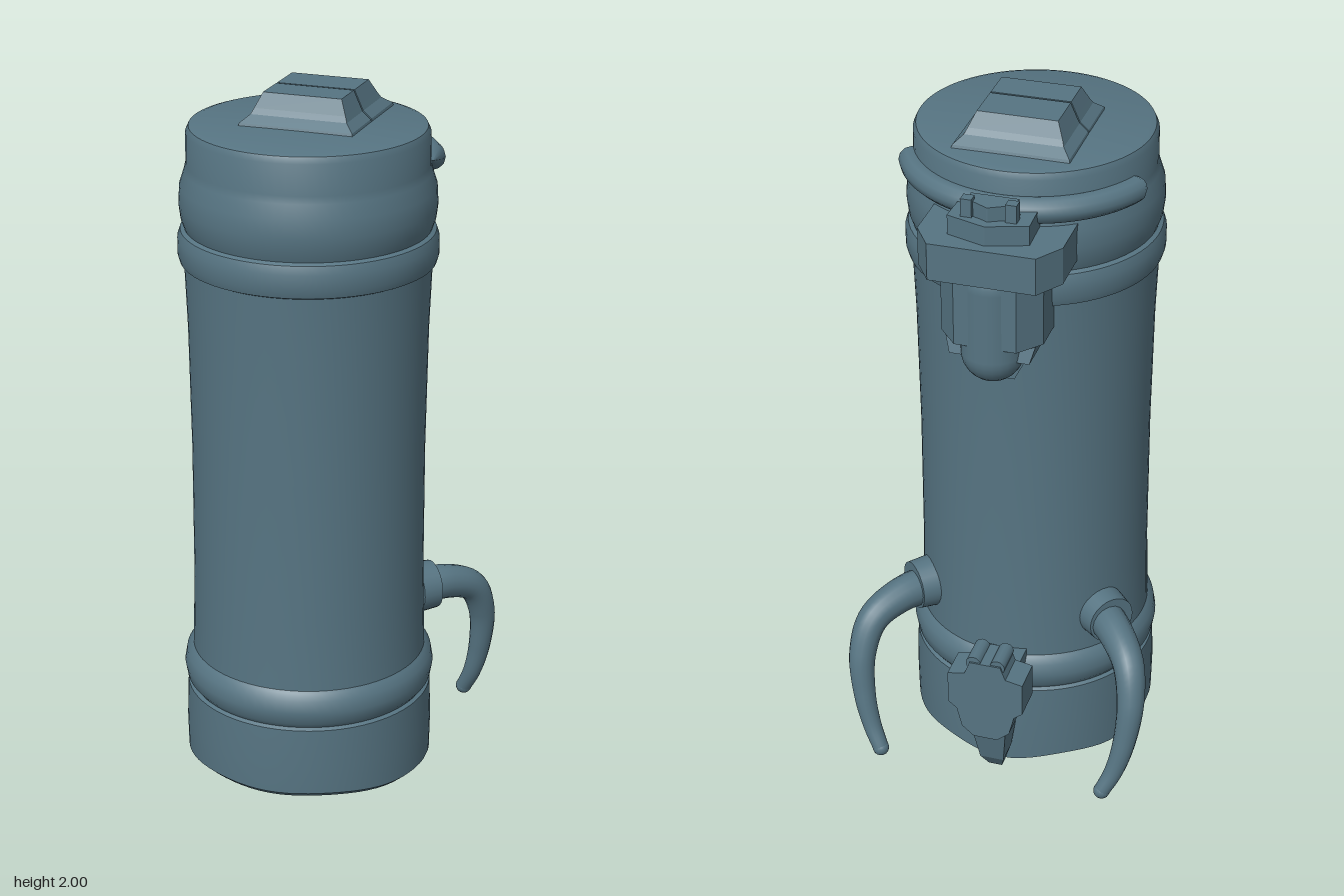
import * as THREE from 'three';
import { toCreasedNormals } from 'three/addons/utils/BufferGeometryUtils.js';

const CZ = 0.073; // z of the canister axis

// Stack of rectangles [y, x0, x1, z0, z1], bottom to top, with end caps
function loft(sections) {
  const pos = [], idx = [];
  for (const [y, x0, x1, z0, z1] of sections) {
    pos.push(x0, y, z1, x1, y, z1, x1, y, z0, x0, y, z0);
  }
  for (let i = 0; i < sections.length - 1; i++) {
    for (let j = 0; j < 4; j++) {
      const a = i * 4 + j, b = i * 4 + (j + 1) % 4;
      idx.push(a, b, b + 4, a, b + 4, a + 4);
    }
  }
  const t = (sections.length - 1) * 4;
  idx.push(0, 2, 1, 0, 3, 2, t, t + 1, t + 2, t, t + 2, t + 3);
  const g = new THREE.BufferGeometry();
  g.setAttribute('position', new THREE.Float32BufferAttribute(pos, 3));
  g.setIndex(idx);
  const flat = g.toNonIndexed();
  flat.computeVertexNormals();
  return flat;
}

// Closed outline mirrored about x = 0, from its right half
const mirrored = (half) => [...half, ...half.slice().reverse().map(([x, y]) => [-x, y])];

// Horizontal slab from an [x, z] outline
function slab(outline, y0, y1, hole) {
  const v = (p) => p.map(([x, z]) => new THREE.Vector2(x, -z));
  const shape = new THREE.Shape(v(outline));
  if (hole) shape.holes.push(new THREE.Path(v(hole)));
  const g = new THREE.ExtrudeGeometry(shape, { depth: y1 - y0, bevelEnabled: false });
  return g.rotateX(-Math.PI / 2).translate(0, y0, 0);
}

// Tube whose radius follows radiusAt(t)
function taperedTube(curve, n, sides, radiusAt) {
  const g = new THREE.TubeGeometry(curve, n, 1, sides, false);
  const p = g.attributes.position, v = new THREE.Vector3();
  for (let i = 0; i <= n; i++) {
    const c = curve.getPointAt(i / n), r = radiusAt(i / n);
    for (let j = 0; j <= sides; j++) {
      const k = i * (sides + 1) + j;
      v.fromBufferAttribute(p, k).sub(c).multiplyScalar(r).add(c);
      p.setXYZ(k, v.x, v.y, v.z);
    }
  }
  return g;
}

export function createModel() {
  const model = new THREE.Group();
  const steel = new THREE.MeshStandardMaterial({ color: 0x567482 });
  steel.name = 'slate blue';
  const add = (name, geometry, parent = model) => {
    const m = new THREE.Mesh(geometry, steel);
    m.name = name;
    parent.add(m);
    return m;
  };

  // Canister: banded profile, with an uneven, tilted underside
  const profile = [
    [0, 0.03], [0.12, 0.02], [0.24, 0.025], [0.335, 0.03], [0.352, 0.045], [0.354, 0.15], [0.35, 0.268],
    [0.34, 0.274], [0.352, 0.29], [0.358, 0.325], [0.352, 0.36], [0.338, 0.378], [0.333, 0.384],
    [0.327, 0.6], [0.326, 1.0], [0.331, 1.35], [0.338, 1.535],
    [0.349, 1.54], [0.355, 1.56], [0.355, 1.605], [0.347, 1.628], [0.336, 1.634],
    [0.345, 1.66], [0.35, 1.7], [0.347, 1.75], [0.334, 1.79], [0.329, 1.81],
    [0.328, 1.895], [0.32, 1.912], [0.305, 1.917], [0, 1.92],
  ].map(([x, y]) => new THREE.Vector2(x, y));
  const canister = new THREE.LatheGeometry(profile, 72);
  const p = canister.attributes.position;
  for (let i = 0; i < p.count; i++) {
    const x = p.getX(i), y = p.getY(i), z = p.getZ(i);
    if (y > 0.1) continue;
    const wave = 0.008 * Math.cos(6 * Math.atan2(x, -z)) * Math.hypot(x, z) / 0.35;
    p.setY(i, Math.max(0, y + 0.07 * z - wave * (z < 0 ? 1 : 0.3)));
  }
  add('canister', toCreasedNormals(canister, 0.6)).position.z = CZ;

  // Lid handle: two stepped halves with a narrow split
  const steps = [[1.9, 0.165, 1], [1.925, 0.158, 0.95], [1.945, 0.135, 0.8], [1.96, 0.128, 0.74], [2, 0.11, 0.62]];
  add('lidHandleFront', loft(steps.map(([y, x, k]) => [y, -x, x, 0.022, 0.018 + 0.165 * k])));
  add('lidHandleBack', loft(steps.map(([y, x, k]) => [y, -x, x, 0.018 - 0.19 * k, 0.016])));

  // Rounded bar wrapping the back of the neck
  const bar = [];
  for (let i = 0; i <= 24; i++) {
    const a = THREE.MathUtils.lerp(-1.28, 1.28, i / 24);
    bar.push(new THREE.Vector3(Math.sin(a) * 0.333, 1.815, CZ - Math.cos(a) * 0.333));
  }
  const barCurve = new THREE.CatmullRomCurve3(bar);
  add('neckBar', taperedTube(barCurve, 48, 12, (t) =>
    0.036 * Math.sqrt(Math.min(1, Math.min(t, 1 - t) / 0.04))));

  // Upper latch: chamfered bracket, pouch, rounded tongue and clasp
  const latch = new THREE.Group();
  latch.name = 'upperLatch';
  model.add(latch);
  add('bracket', slab(mirrored([[0.195, -0.19], [0.195, -0.345], [0.145, -0.422]]), 1.665, 1.77), latch);
  add('pouch', slab(mirrored([[0.14, -0.22], [0.14, -0.33], [0.085, -0.395]]), 1.47, 1.67), latch);
  add('pouchBase', loft([
    [1.42, -0.11, 0.11, -0.36, -0.23],
    [1.475, -0.125, 0.125, -0.345, -0.23],
  ]), latch);
  const tongue = new THREE.CapsuleGeometry(0.085, 0.2, 8, 24);
  tongue.scale(1, 1, 0.95);
  add('tongue', tongue, latch).position.set(0, 1.53, -0.327);
  add('tongueRoot', loft([
    [1.35, -0.06, 0.06, -0.33, -0.24],
    [1.4, -0.085, 0.085, -0.33, -0.24],
    [1.66, -0.085, 0.085, -0.33, -0.24],
  ]), latch);
  add('claspFrame', slab(mirrored([[0.105, -0.23], [0.11, -0.357], [0, -0.392]].slice(0, 2)
    .concat([[0.002, -0.392]])), 1.76, 1.825, mirrored([[0.07, -0.3], [0.06, -0.34], [0.002, -0.362]])), latch);
  add('claspTab', slab(mirrored([[0.065, -0.295], [0.058, -0.335], [0.002, -0.365]]), 1.76, 1.865), latch);
  for (const s of [-1, 1]) {
    add('claspPin', new THREE.BoxGeometry(0.03, 0.1, 0.03), latch).position.set(s * 0.06, 1.825, -0.34);
  }

  // Lower clasp: stepped block with ribs and a tapering stem
  const lower = new THREE.Group();
  lower.name = 'lowerClasp';
  model.add(lower);
  const outline = mirrored([[0.045, 0.46], [0.06, 0.42], [0.11, 0.41], [0.11, 0.31], [0.085, 0.29], [0.07, 0.23], [0.035, 0.2]]);
  const block = new THREE.ExtrudeGeometry(
    new THREE.Shape(outline.map(([x, y]) => new THREE.Vector2(x, y))), { depth: 0.1, bevelEnabled: false });
  add('claspBlock', block, lower).position.z = -0.428;
  add('claspBacking', new THREE.BoxGeometry(0.14, 0.17, 0.12), lower).position.set(0, 0.32, -0.29);
  for (const x of [-0.035, 0.035]) {
    const rib = new THREE.CylinderGeometry(0.022, 0.022, 0.09, 12).rotateX(Math.PI / 2);
    add('claspRib', rib, lower).position.set(x, 0.455, -0.378);
  }
  add('claspStem', loft([
    [0.03, -0.02, 0.02, -0.335, -0.3],
    [0.08, -0.035, 0.035, -0.37, -0.29],
    [0.24, -0.055, 0.055, -0.41, -0.27],
  ]), lower);

  // Curved horns with collars, mirrored left and right
  for (const s of [1, -1]) {
    const horn = new THREE.Group();
    horn.name = s > 0 ? 'leftHorn' : 'rightHorn';
    model.add(horn);
    const path = new THREE.CatmullRomCurve3([
      [0.24, 0.49, -0.11], [0.325, 0.485, -0.215], [0.38, 0.445, -0.29], [0.4, 0.35, -0.335],
      [0.39, 0.22, -0.358], [0.365, 0.12, -0.372], [0.335, 0.055, -0.388],
    ].map(([x, y, z]) => new THREE.Vector3(s * x, y, z)));
    add('hornTube', taperedTube(path, 40, 16, (t) => 0.057 - 0.034 * t), horn);
    const tip = add('hornTip', new THREE.SphereGeometry(0.024, 16, 10), horn);
    tip.position.copy(path.getPoint(1));
    const collar = add('collar', new THREE.CylinderGeometry(0.07, 0.075, 0.06, 24), horn);
    collar.position.set(s * 0.275, 0.495, -0.145);
    collar.quaternion.setFromUnitVectors(new THREE.Vector3(0, 1, 0), new THREE.Vector3(s * 0.72, 0, -0.69).normalize());
  }
  return model;
}
